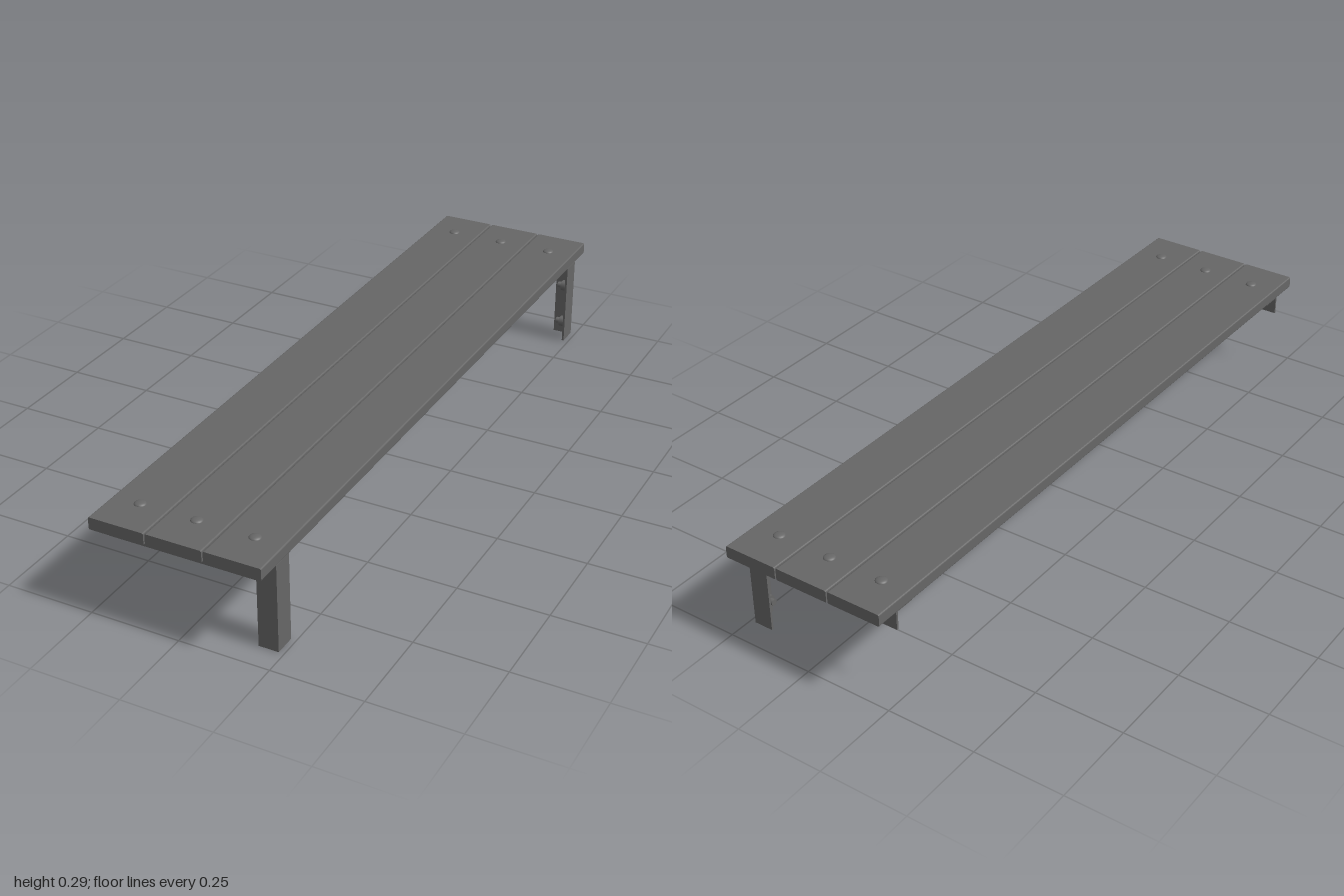
import * as THREE from 'three';

const material = new THREE.MeshStandardMaterial({ color: 0x666666 });
const PLANK_X = [-0.159, 0, 0.159];
const T = 0.006; // angle-iron thickness

function add(parent, name, geometry, x = 0, y = 0, z = 0) {
  const mesh = new THREE.Mesh(geometry, material);
  mesh.name = name;
  mesh.position.set(x, y, z);
  parent.add(mesh);
  return mesh;
}

// Board with rounded long edges and square ends, centred on the origin
function plankGeometry(width, height, length, r) {
  const w = width / 2, h = height / 2;
  const shape = new THREE.Shape();
  shape.absarc(w - r, h - r, r, 0, Math.PI / 2);
  shape.absarc(-w + r, h - r, r, Math.PI / 2, Math.PI);
  shape.absarc(-w + r, -h + r, r, Math.PI, Math.PI * 1.5);
  shape.absarc(w - r, -h + r, r, Math.PI * 1.5, Math.PI * 2);
  const geometry = new THREE.ExtrudeGeometry(shape, { depth: length, bevelEnabled: false, curveSegments: 3 });
  return geometry.translate(0, 0, -length / 2);
}

// Low domed bolt head, base at y = 0
function domeGeometry(radius, height) {
  const points = [];
  for (let i = 0; i <= 6; i++) {
    const a = (i / 6) * Math.PI / 2;
    points.push(new THREE.Vector2(i === 6 ? 0 : radius * Math.cos(a), height * Math.sin(a)));
  }
  return new THREE.LatheGeometry(points, 20);
}

// Hex nut with a short threaded end, pointing down from y = 0
function makeNut(name) {
  const nut = new THREE.Group();
  nut.name = name;
  add(nut, 'washer', new THREE.CylinderGeometry(0.018, 0.018, 0.003, 20), 0, -0.0015, 0);
  add(nut, 'hexNut', new THREE.CylinderGeometry(0.016, 0.016, 0.015, 6), 0, -0.0105, 0);
  add(nut, 'threadEnd', new THREE.CylinderGeometry(0.009, 0.009, 0.015, 12), 0, -0.0225, 0);
  return nut;
}

// Angle-iron bracket; side = 1 at the front end, -1 at the back end
function makeBracket(side) {
  const bracket = new THREE.Group();
  bracket.name = side > 0 ? 'frontBracket' : 'backBracket';

  // Upright L-shaped web on the outer face
  const shape = new THREE.Shape();
  [[-0.23, 0.189], [0.18, 0.189], [0.18, 0], [0.235, 0], [0.235, 0.246], [-0.23, 0.246]]
    .forEach(([x, y], i) => (i ? shape.lineTo(x, y) : shape.moveTo(x, y)));
  const web = new THREE.ExtrudeGeometry(shape, { depth: T, bevelEnabled: false });
  add(bracket, 'web', web, 0, 0, side > 0 ? 0.93 - T : -0.93);

  // Flanges turned inward: under the planks and along the leg
  const z = side * (0.9 - T / 2), depth = 0.06 - T;
  add(bracket, 'topFlange', new THREE.BoxGeometry(0.465, T, depth), 0.0025, 0.246 - T / 2, z);
  add(bracket, 'legFlange', new THREE.BoxGeometry(T, 0.246 - T, depth), 0.235 - T / 2, (0.246 - T) / 2, z);

  // Nuts below the planks
  for (const x of PLANK_X) {
    const nut = makeNut('plankNut');
    nut.position.set(x, 0.246 - T, side * 0.893);
    bracket.add(nut);
  }
  // Fixings on the inside of the leg
  for (const y of [0.055, 0.178]) {
    const nut = makeNut('legNut');
    nut.rotation.z = -Math.PI / 2;
    nut.position.set(0.235 - T, y, side * 0.893);
    bracket.add(nut);
  }
  return bracket;
}

export function createModel() {
  const model = new THREE.Group();
  model.name = 'slattedShelf';

  // Three long planks with bolt heads at both ends
  for (const x of PLANK_X) {
    add(model, 'plank', plankGeometry(0.155, 0.034, 2, 0.004), x, 0.264, 0);
    for (const side of [1, -1]) {
      add(model, 'boltHead', domeGeometry(0.016, 0.006), x, 0.281, side * 0.893);
    }
  }

  model.add(makeBracket(1), makeBracket(-1));
  return model;
}
